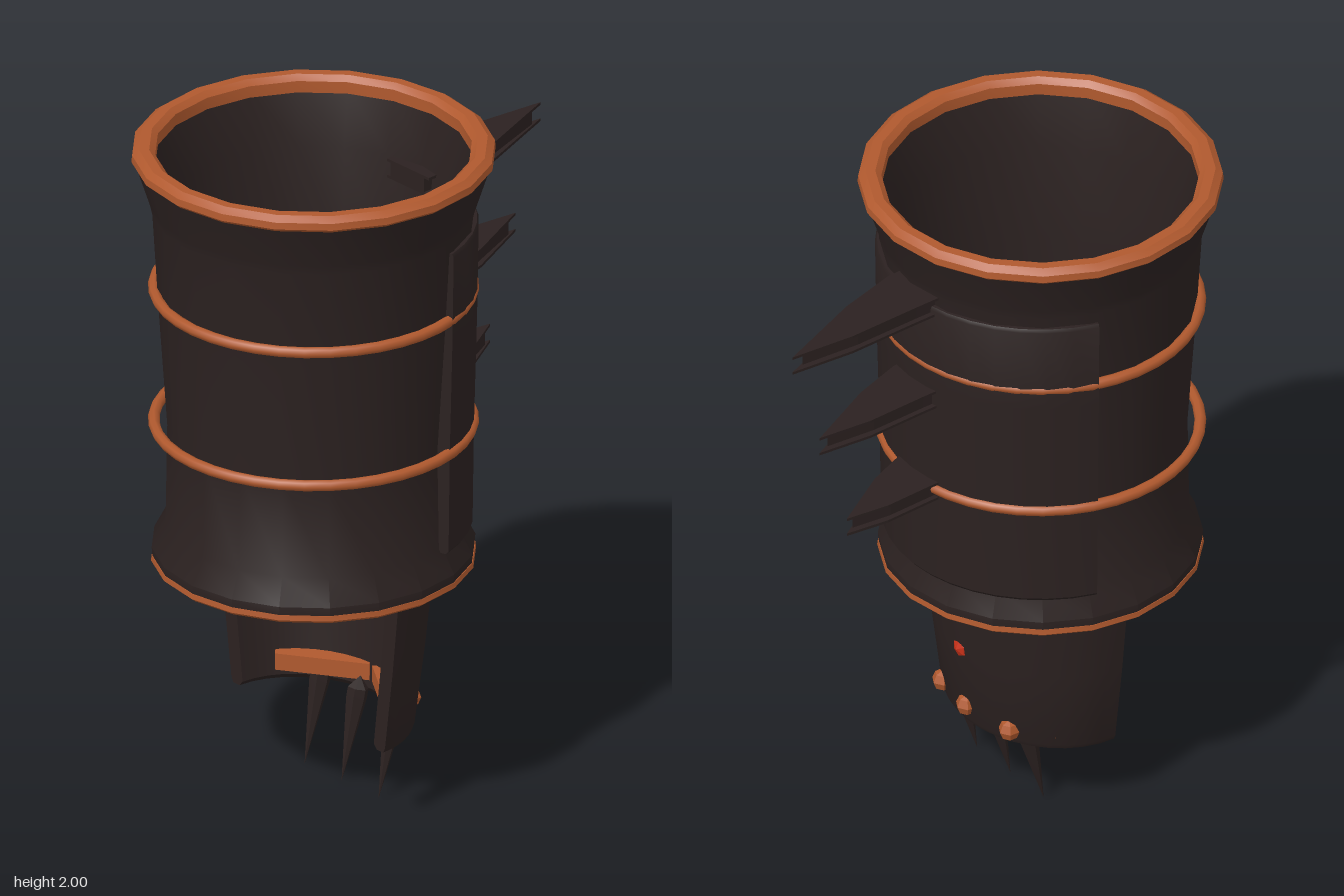
import * as THREE from 'three';
import { toCreasedNormals } from 'three/addons/utils/BufferGeometryUtils.js';

const DEG = Math.PI / 180;
const CX = -0.22; // axis of the sleeve

const dark = new THREE.MeshStandardMaterial({ color: 0x2b2120, side: THREE.DoubleSide });
const copper = new THREE.MeshStandardMaterial({ color: 0xb0592e });
const red = new THREE.MeshStandardMaterial({ color: 0xc43018 });

function addMesh(parent, name, geo, mat, x = 0, y = 0, z = 0) {
  const m = new THREE.Mesh(geo, mat);
  m.name = name;
  m.position.set(x, y, z);
  parent.add(m);
  return m;
}

const toPoints = (pairs) => pairs.map(([x, y]) => new THREE.Vector2(x, y));

// Closed profile turned around the vertical axis
function turned(pairs, segs, start = 0, sweep = 360) {
  const pts = toPoints([...pairs, pairs[0]]);
  return toCreasedNormals(new THREE.LatheGeometry(pts, segs, start * DEG, sweep * DEG), 35 * DEG);
}

// Part of a turned shell, with its two cut ends closed
function arcShell(name, pairs, segs, start, sweep, mat) {
  const g = new THREE.Group();
  g.name = name;
  addMesh(g, name + 'Wall', turned(pairs, segs, start, sweep), mat);
  for (const a of [start, start + sweep]) {
    const cap = addMesh(g, name + 'End', new THREE.ShapeGeometry(new THREE.Shape(toPoints(pairs))), mat);
    cap.rotation.y = (a - 90) * DEG;
  }
  return g;
}

// Flat plate from an (x, z) outline, rising from y = 0 to h
function plate(outline, h) {
  const shape = new THREE.Shape(toPoints(outline.map(([x, z]) => [x, -z])));
  return new THREE.ExtrudeGeometry(shape, { depth: h, bevelEnabled: false }).rotateX(-Math.PI / 2);
}

// Swept-back blade with two thin flanges and a recessed web
function fin(length) {
  const g = new THREE.Group();
  g.name = 'fin';
  const x0 = 0.15, k = length - x0;
  const outline = [[0, 0.07], [0.2, 0.065], [0.52, 0.015], [1, -0.098], [0.65, -0.114], [0.25, -0.107], [0, -0.105]]
    .map(([t, z]) => [x0 + t * k, z]);
  const inner = outline.map(([x, z]) => [x0 + (x - x0) * 0.92, -0.03 + (z + 0.03) * 0.8]);
  addMesh(g, 'finLowerFlange', plate(outline, 0.008), dark, 0, -0.029, 0);
  addMesh(g, 'finWeb', plate(inner, 0.046), dark, 0, -0.023, 0);
  addMesh(g, 'finUpperFlange', plate(outline, 0.008), dark, 0, 0.021, 0);
  return g;
}

// Six-sided spike between two points, with a short pointed root
function spike(base, tip) {
  const len = base.distanceTo(tip);
  const pts = toPoints([[0, -0.035], [0.03, 0], [0.03, 0.03], [0, len]]);
  const geo = toCreasedNormals(new THREE.LatheGeometry(pts, 6), 20 * DEG);
  const q = new THREE.Quaternion().setFromUnitVectors(new THREE.Vector3(0, 1, 0), tip.clone().sub(base).normalize());
  return geo.applyQuaternion(q).translate(base.x, base.y, base.z);
}

export function createModel() {
  const root = new THREE.Group();
  root.name = 'clawedGauntlet';

  // Hollow forearm sleeve, flared at both ends
  addMesh(root, 'sleeve', turned([
    [0.452, 0.74], [0.455, 0.775], [0.416, 0.85], [0.411, 1.15], [0.435, 1.5], [0.453, 1.8], [0.46, 1.83], [0.502, 1.96],
    [0.45, 1.97], [0.41, 1.8], [0.39, 1.5], [0.367, 1.15], [0.367, 0.85], [0.41, 0.74],
  ], 20), dark, CX);

  // Copper edging at the top and bottom
  addMesh(root, 'topRim', turned([
    [0.495, 1.95], [0.512, 1.965], [0.51, 1.985], [0.49, 2], [0.462, 2], [0.445, 1.985], [0.445, 1.95],
  ], 20), copper, CX);
  addMesh(root, 'bottomRim', turned([
    [0.445, 0.725], [0.457, 0.735], [0.455, 0.75], [0.41, 0.75], [0.405, 0.735], [0.415, 0.725],
  ], 20), copper, CX);

  // Copper hoops
  for (const y of [1.15, 1.56]) {
    addMesh(root, 'hoop', new THREE.TorusGeometry(0.447, 0.0165, 8, 40).rotateX(Math.PI / 2), copper, CX, y);
  }

  // Raised plate on the outer side of the sleeve
  const panel = arcShell('outerPlate', [
    [0.40, 0.84], [0.438, 0.84], [0.446, 0.85], [0.45, 1.15], [0.459, 1.5], [0.463, 1.76], [0.458, 1.77], [0.43, 1.77], [0.40, 1.15],
  ], 16, 16, 148, dark);
  panel.position.x = CX;
  root.add(panel);

  // Three fins, shorter toward the hand
  [[1.772, 0.72], [1.46, 0.625], [1.148, 0.53]].forEach(([y, len]) => {
    const f = fin(len);
    f.position.y = y;
    root.add(f);
  });

  // Half-round guard over the back of the hand
  const guard = arcShell('handGuard', [
    [0.288, 0.235], [0.314, 0.235], [0.322, 0.25], [0.355, 0.5], [0.38, 0.73], [0.383, 0.77],
    [0.335, 0.77], [0.328, 0.73], [0.305, 0.5], [0.275, 0.25],
  ], 18, 0, 180, dark);
  guard.position.x = -0.24;
  guard.scale.x = 0.86;
  root.add(guard);

  // Red stone set through the guard
  const gem = addMesh(root, 'gem', new THREE.SphereGeometry(0.036, 6, 4).rotateZ(Math.PI / 2), red, 0.04, 0.495, 0);
  gem.material.flatShading = true;

  // Copper knuckle bars inside the guard, mirrored across z
  const bar = [[-0.005, 0.005], [0.035, 0.045], [0.02, 0.08], [-0.03, 0.165], [-0.075, 0.262], [-0.135, 0.255], [-0.155, 0.235]];
  for (const s of [1, -1]) {
    const outline = bar.map(([x, z]) => [x, z * s]);
    addMesh(root, 'knuckleBar', plate(outline, 0.05), copper, 0, 0.275, 0);
  }

  // Claws and their copper studs
  for (const z of [-0.155, 0, 0.155]) {
    addMesh(root, 'claw', spike(new THREE.Vector3(-0.052, 0.27, z), new THREE.Vector3(-0.115, 0, z)), dark);
    const stud = toCreasedNormals(new THREE.SphereGeometry(0.032, 6, 4), 10 * DEG);
    addMesh(root, 'stud', stud, copper, z === 0 ? 0.038 : 0.005, z === 0 ? 0.295 : 0.28, z);
  }

  return root;
}
